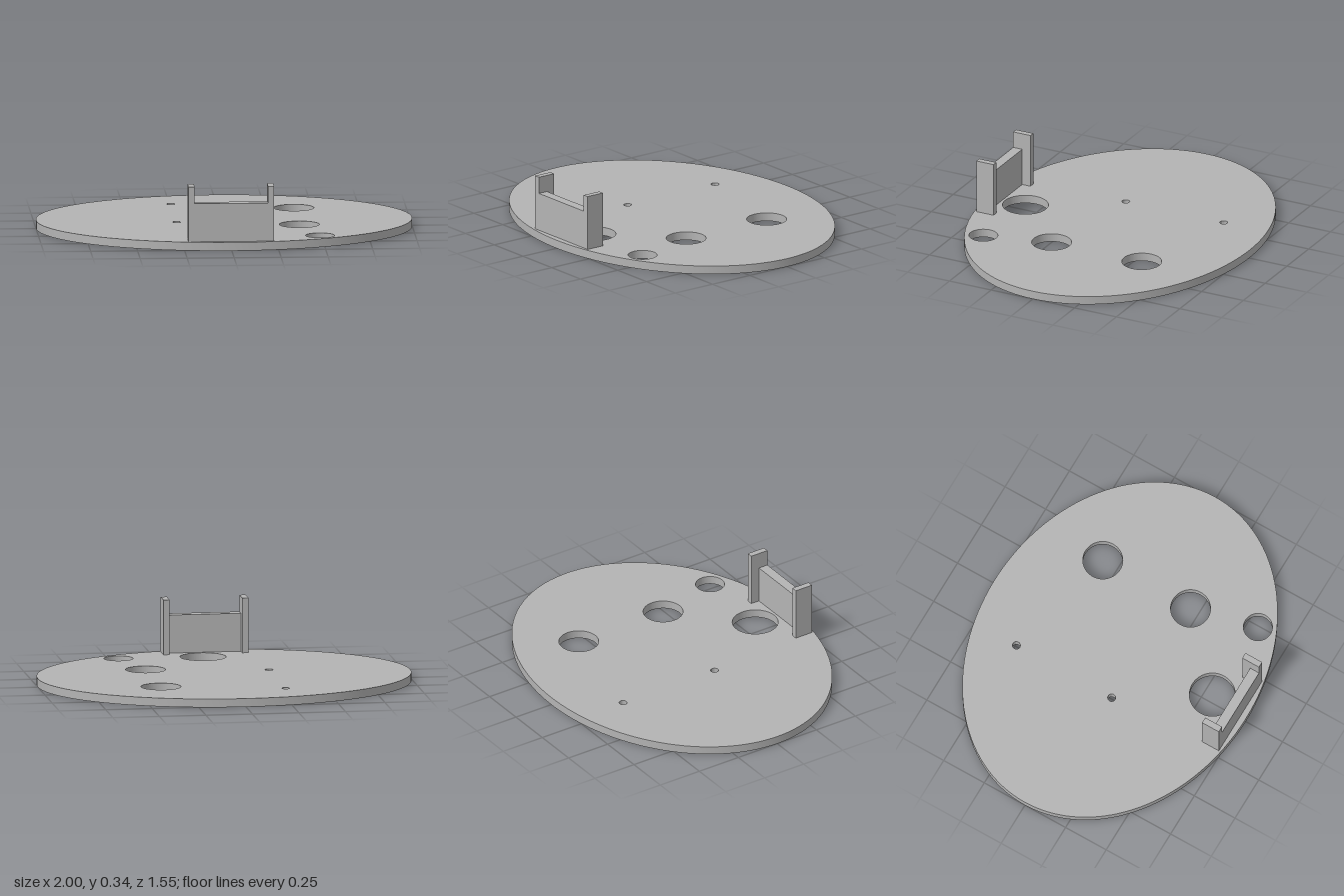
import * as THREE from 'three';
import { toCreasedNormals } from 'three/addons/utils/BufferGeometryUtils.js';

const PLATE_TOP = 0.045;

// [x, z, radius] of each hole through the plate
const HOLES = [
  [0.39, -0.334, 0.106],
  [0.39, 0.206, 0.106],
  [0.028, 0.552, 0.122],
  [0.48, 0.568, 0.077],
  [-0.257, -0.487, 0.021],
  [-0.257, 0.099, 0.021],
];

export function createModel() {
  const grey = new THREE.MeshStandardMaterial({ color: 0xb4b4b4 });
  grey.name = 'plain grey';
  const model = new THREE.Group();
  model.name = 'plateWithBracket';

  // Oval base plate with round holes; shape y becomes -z when laid flat
  const outline = new THREE.Shape();
  outline.absellipse(0, 0, 1, 0.774, 0, Math.PI * 2);
  for (const [x, z, r] of HOLES) {
    const hole = new THREE.Path();
    hole.absarc(x, -z, r, 0, Math.PI * 2, true);
    outline.holes.push(hole);
  }
  const plateGeometry = new THREE.ExtrudeGeometry(outline, {
    depth: PLATE_TOP, bevelEnabled: false, curveSegments: 64,
  });
  plateGeometry.rotateX(-Math.PI / 2);
  const plate = new THREE.Mesh(toCreasedNormals(plateGeometry, 0.5), grey);
  plate.name = 'basePlate';
  model.add(plate);

  // Upright bracket: low wall between two taller posts, flush at the front
  const bracket = new THREE.Group();
  bracket.name = 'bracket';
  bracket.position.set(-0.001, PLATE_TOP, 0.742);
  model.add(bracket);

  const addBlock = (name, width, height, depth, x) => {
    const block = new THREE.Mesh(new THREE.BoxGeometry(width, height, depth), grey);
    block.name = name;
    block.position.set(x, height / 2, -depth / 2);
    bracket.add(block);
  };
  addBlock('bracketWall', 0.39, 0.205, 0.054, 0);
  addBlock('leftPost', 0.033, 0.295, 0.103, 0.2115);
  addBlock('rightPost', 0.033, 0.295, 0.103, -0.2115);

  return model;
}
